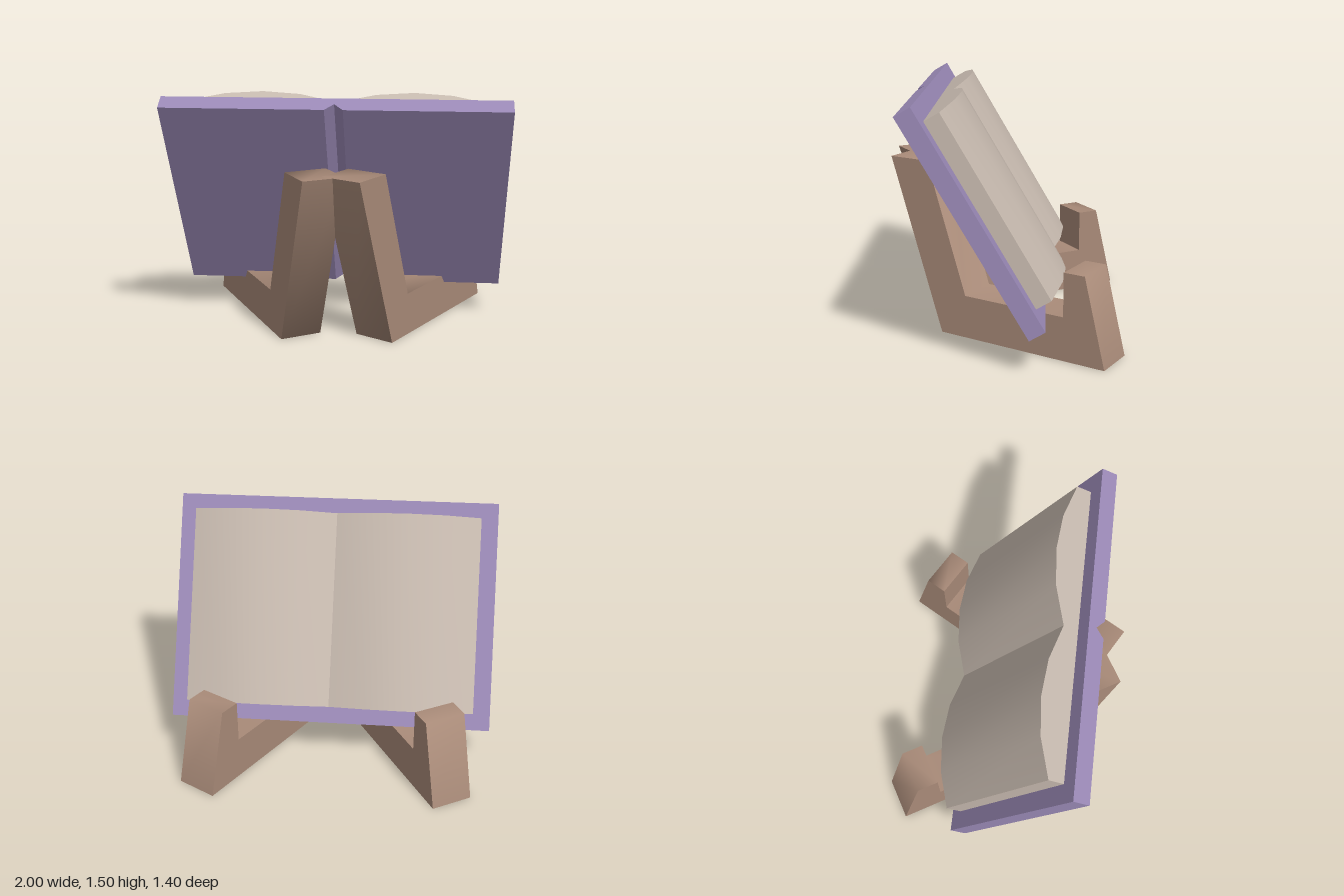
import * as THREE from 'three';
import { toCreasedNormals } from 'three/addons/utils/BufferGeometryUtils.js';

// Extrude a closed 2D profile along z, starting at z0
function prism(points, z0, depth, crease) {
  const shape = new THREE.Shape(points.map(([x, y]) => new THREE.Vector2(x, y)));
  const geometry = new THREE.ExtrudeGeometry(shape, { depth, bevelEnabled: false });
  geometry.translate(0, 0, z0);
  return toCreasedNormals(geometry, crease);
}

function namedMesh(name, geometry, material) {
  const mesh = new THREE.Mesh(geometry, material);
  mesh.name = name;
  return mesh;
}

function material(name, color) {
  const m = new THREE.MeshStandardMaterial({ color });
  m.name = name;
  return m;
}

export function createModel() {
  const model = new THREE.Group();
  model.name = 'bookOnStand';
  const wood = material('brown wood', 0xa88a78);
  const purple = material('purple cover', 0x9a89b6);
  const paper = material('cream paper', 0xc6b9ae);

  // Stand: two L-shaped legs splayed 30 degrees each side, meeting at the front
  const legProfile = [
    [-0.169, 0], [0.94, 0], [0.807, 0.53], [0.674, 0.53],
    [0.674, 0.265], [0.005, 0.265], [-0.261, 1.062], [-0.527, 1.062],
  ];
  const inner = 0.228, width = 0.26;
  for (const side of [1, -1]) {
    const start = side > 0 ? inner : -inner - width;
    const leg = namedMesh(side > 0 ? 'leftStandLeg' : 'rightStandLeg',
      prism(legProfile, start, width, 1.4), wood);
    leg.rotation.y = side > 0 ? Math.PI / 3 : 2 * Math.PI / 3;
    model.add(leg);
  }

  // Book: local x across, y out of the pages, z up along the spine
  const book = new THREE.Group();
  book.name = 'book';
  book.position.set(0, 0.215, -0.151);
  book.rotation.x = -Math.PI / 3;
  model.add(book);

  // Cover with a V groove down the spine
  const thick = 0.104;
  book.add(namedMesh('cover', prism([
    [-1, 0], [-0.053, 0], [0, 0.052], [0.053, 0], [1, 0], [1, thick], [-1, thick],
  ], 0, 1.416, 0.5), purple));

  // Open pages: an arched block on each side of the fold
  const half = 0.89;
  const arch = [[1, 0.098], [0.75, 0.173], [0.5, 0.196], [0.25, 0.173], [0, 0.098]];
  const rightHalf = arch.map(([t, h]) => [t * half, thick + h]);
  const leftHalf = rightHalf.slice(0, -1).reverse().map(([x, y]) => [-x, y]);
  book.add(namedMesh('pages', prism([
    [-half, thick], [half, thick], ...rightHalf, ...leftHalf,
  ], 0.106, 1.203, 0.5), paper));

  return model;
}
